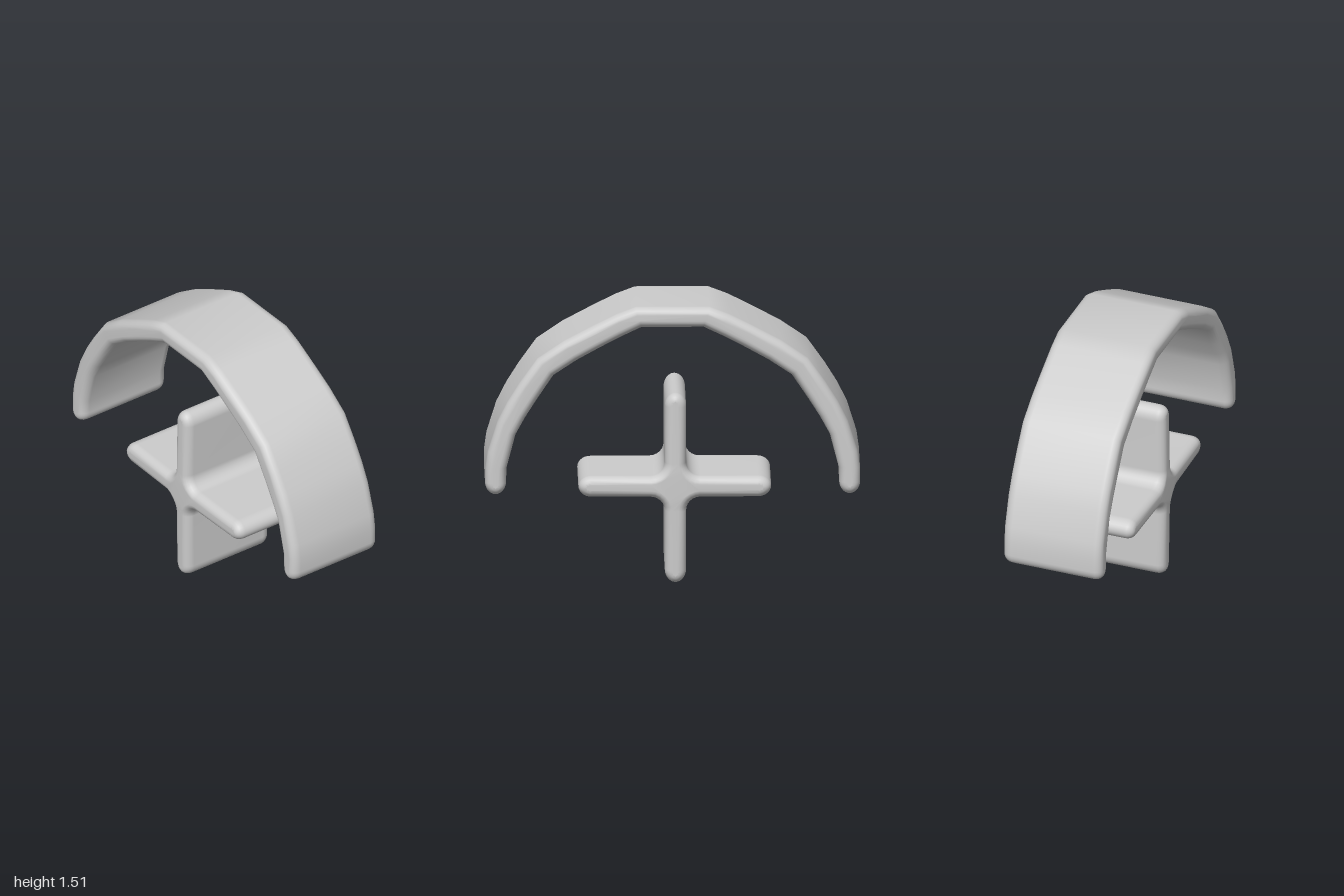
import * as THREE from 'three';
import { mergeVertices } from 'three/addons/utils/BufferGeometryUtils.js';

const V = (x, y) => new THREE.Vector2(x, y);

// Points of an elliptical or circular arc, in order of angle
function arc(cx, cy, rx, ry, from, to, steps) {
  return Array.from({ length: steps + 1 }, (_, i) => {
    const t = from + (to - from) * i / steps;
    return V(cx + rx * Math.cos(t), cy + ry * Math.sin(t));
  });
}

// Extrude an outline along z with softly rounded edges and smooth normals
function softSlab(points, halfDepth, bulge) {
  const round = 0.05;
  const geo = new THREE.ExtrudeGeometry(new THREE.Shape(points), {
    depth: 2 * (halfDepth - round), steps: 1,
    bevelThickness: round, bevelSize: 0.04, bevelOffset: -0.04, bevelSegments: 5,
  });
  geo.translate(0, 0, round - halfDepth);
  geo.deleteAttribute('normal');
  geo.deleteAttribute('uv');
  const smooth = mergeVertices(geo, 1e-4);
  if (bulge) {
    const p = smooth.attributes.position;
    for (let i = 0; i < p.count; i++) p.setZ(i, p.getZ(i) * bulge(p.getX(i), p.getY(i)));
  }
  smooth.computeVertexNormals();
  return smooth;
}

// Arched band: right half outline mirrored to the left
function archOutline() {
  const outer = [[0.195, 1.507], [0.3, 1.467], [0.425, 1.404], [0.58, 1.322], [0.72, 1.227],
    [0.815, 1.094], [0.88, 0.99], [0.933, 0.885], [0.985, 0.72], [0.998, 0.63]];
  const inner = [[0.884, 0.63], [0.837, 0.81], [0.785, 0.905], [0.725, 1.0], [0.634, 1.136],
    [0.51, 1.218], [0.38, 1.29], [0.275, 1.345], [0.165, 1.397]];
  const right = [
    ...outer.map(([x, y]) => V(x, y)),
    ...arc(0.943, 0.55, 0.056, 0.065, 0, -Math.PI, 14),
    ...inner.map(([x, y]) => V(x, y)),
  ];
  const left = right.map((p) => V(-p.x, p.y)).reverse();
  return [...right, ...left];
}

// Cross: four round-tipped arms joined by fillets
function crossOutline() {
  const w = 0.057, f = 0.075, tip = 0.07;
  const lengths = [0.517, 0.51, 0.51, 0.525];
  return lengths.flatMap((len, k) => [
    ...arc(len - tip, 0, tip, w, -Math.PI / 2, Math.PI / 2, 14),
    ...arc(w + f, w + f, f, f, -Math.PI / 2, -Math.PI, 6),
  ].map((p) => p.rotateAround(V(0, 0), k * Math.PI / 2)));
}

export function createModel() {
  const group = new THREE.Group();
  const grey = new THREE.MeshStandardMaterial({ color: 0xcccccc });
  grey.name = 'light grey';

  const arch = new THREE.Mesh(softSlab(archOutline(), 0.282), grey);
  arch.name = 'archBand';

  // The cross swells slightly at its hub
  const hub = (x, y) => 1 + 0.045 * Math.exp(-(x * x + y * y) / 0.02);
  const cross = new THREE.Mesh(softSlab(crossOutline(), 0.277, hub), grey);
  cross.name = 'cross';
  cross.position.set(-0.015, 0.525, 0);

  group.add(arch, cross);
  return group;
}
